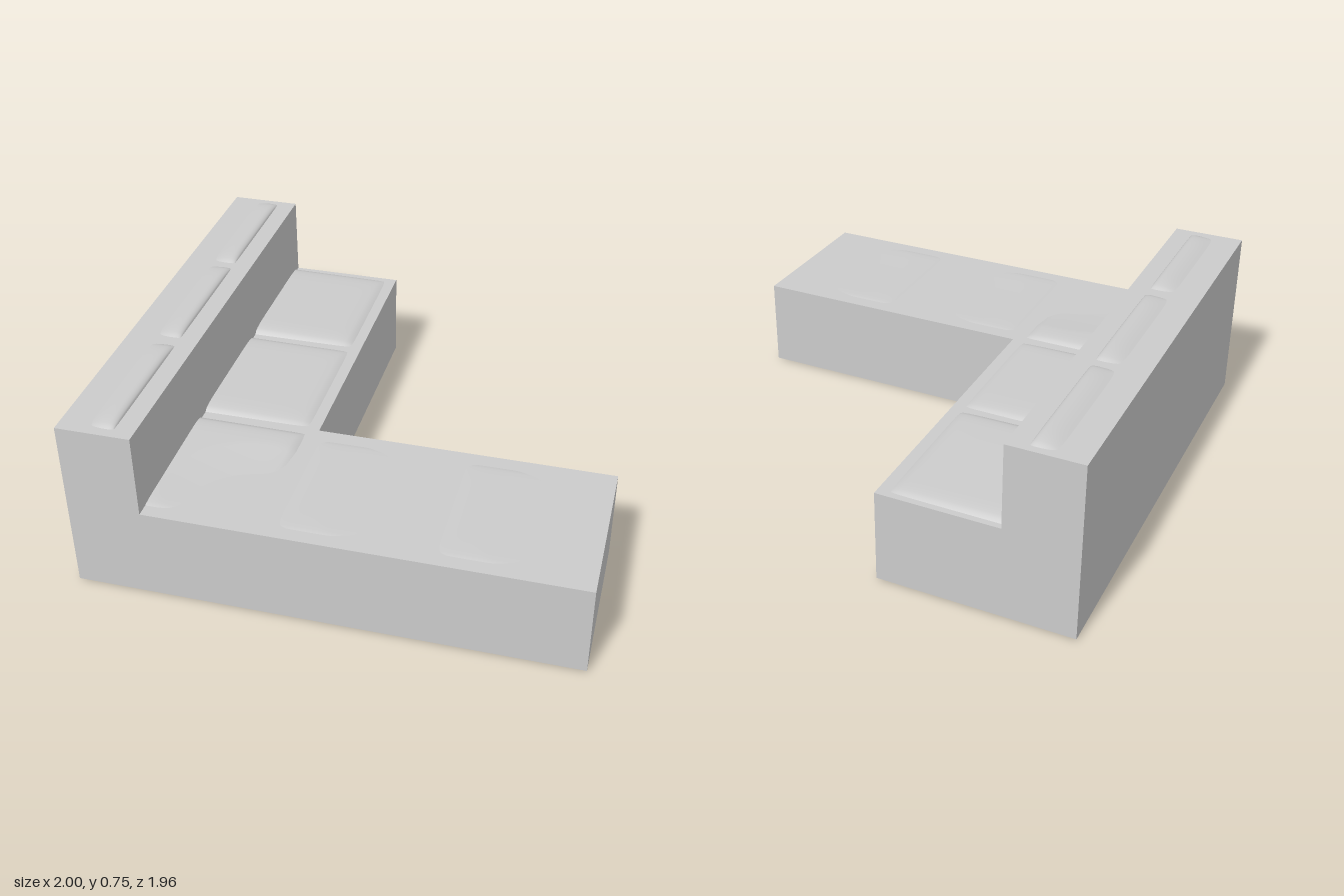
import * as THREE from 'three';

const SEAT_Y = 0.385, BACK_Y = 0.73;

export function createModel() {
  const model = new THREE.Group();
  const material = new THREE.MeshStandardMaterial({ color: 0xcccccc });
  const softMaterial = new THREE.MeshStandardMaterial({ color: 0xcccccc, side: THREE.DoubleSide });

  const add = (name, geometry, mat = material) => {
    const mesh = new THREE.Mesh(geometry, mat);
    mesh.name = name;
    model.add(mesh);
    return mesh;
  };

  // L-shaped seat base, drawn in plan and extruded upward
  const plan = new THREE.Shape([
    [-1, -0.98], [1, -0.98], [1, -0.3], [-0.21, -0.3], [-0.21, 0.98], [-1, 0.98],
  ].map(([x, y]) => new THREE.Vector2(x, y)));
  const base = new THREE.ExtrudeGeometry(plan, { depth: SEAT_Y - 0.002, bevelEnabled: false });
  base.rotateX(-Math.PI / 2).translate(0, 0.002, 0);
  add('seatBase', base);

  // Backrest block along the right-hand side
  const back = new THREE.BoxGeometry(0.295, BACK_Y - SEAT_Y, 1.96);
  back.translate(-0.8525, (BACK_Y + SEAT_Y) / 2, 0);
  add('backrest', back);

  // Soft top: a grid whose height follows a rule; its rim sinks into the block
  const softTop = (name, [x0, x1], [z0, z1], y, height) => {
    const g = new THREE.PlaneGeometry(1, 1, 36, 36).rotateX(-Math.PI / 2);
    const p = g.attributes.position;
    for (let i = 0; i < p.count; i++) {
      const u = p.getX(i) + 0.5, v = p.getZ(i) + 0.5;
      p.setXYZ(i, x0 + (x1 - x0) * u, y - 0.004 + height(u, v), z0 + (z1 - z0) * v);
    }
    g.computeVertexNormals();
    add(name, g, softMaterial);
  };
  // Rounded fall-off toward both ends of 0..1
  const round = (t, n) => Math.sqrt(Math.max(0, 1 - Math.abs(2 * t - 1) ** n));
  // Shallow bowl centred on (cu, cv)
  const bowl = (u, v, cu, cv, r) => Math.max(0, 1 - ((u - cu) ** 2 + (v - cv) ** 2) / (r * r));

  // Seat cushions beside the backrest (they run a little way into it)
  const seatX = [-0.95, -0.25];
  softTop('rearSeatCushion', seatX, [-0.96, -0.335], SEAT_Y, (u, v) =>
    round(u, 10) * round(v, 8) * (0.03 - 0.01 * u - 0.004 * (1 - v)));
  softTop('middleSeatCushion', seatX, [-0.31, 0.295], SEAT_Y, (u, v) =>
    round(u, 10) * round(v, 8) * (0.026 - 0.01 * u));
  softTop('frontSeatCushion', seatX, [0.33, 0.935], SEAT_Y, (u, v) =>
    round(u, 10) * round(v, 8) * (0.027 - 0.006 * u - 0.015 * v) - 0.012 * bowl(u, v, 0.85, 0.7, 0.5));

  // Nearly flush hollowed cushions on the long chaise
  for (const x of [-0.2, 0.405]) {
    softTop('chaiseCushion', [x, x + 0.545], [0.35, 0.935], SEAT_Y, (u, v) =>
      round(u, 8) * round(v, 8) * 0.0075 - 0.006 * bowl(u, v, 0.95, 0.5, 0.75));
  }

  // Back cushion tops: gentle slope behind, steep edge in front
  for (const z of [[-0.955, -0.345], [-0.315, 0.295], [0.34, 0.945]]) {
    softTop('backCushionTop', [-0.895, -0.782], z, BACK_Y, (u, v) =>
      round(v, 6) * 0.02 * Math.sin(Math.min(u / 0.75, 1) * Math.PI / 2)
        * Math.sqrt(Math.max(0, 1 - Math.max(0, (u - 0.75) / 0.25) ** 2)));
  }

  // Small flush feet
  const foot = new THREE.CylinderGeometry(0.014, 0.014, 0.01, 12).translate(0, 0.005, 0);
  const feet = [
    [0.9, 0.9], [0.9, 0.41], [0.46, 0.41], [0.3, 0.41], [0.46, 0.9], [0.3, 0.9],
    [-0.15, 0.41], [-0.15, 0.9], [-0.31, 0.9], [-0.75, 0.9], [-0.31, -0.9], [-0.75, -0.9],
  ];
  for (const [x, z] of feet) add('foot', foot).position.set(x, 0, z);

  return model;
}
